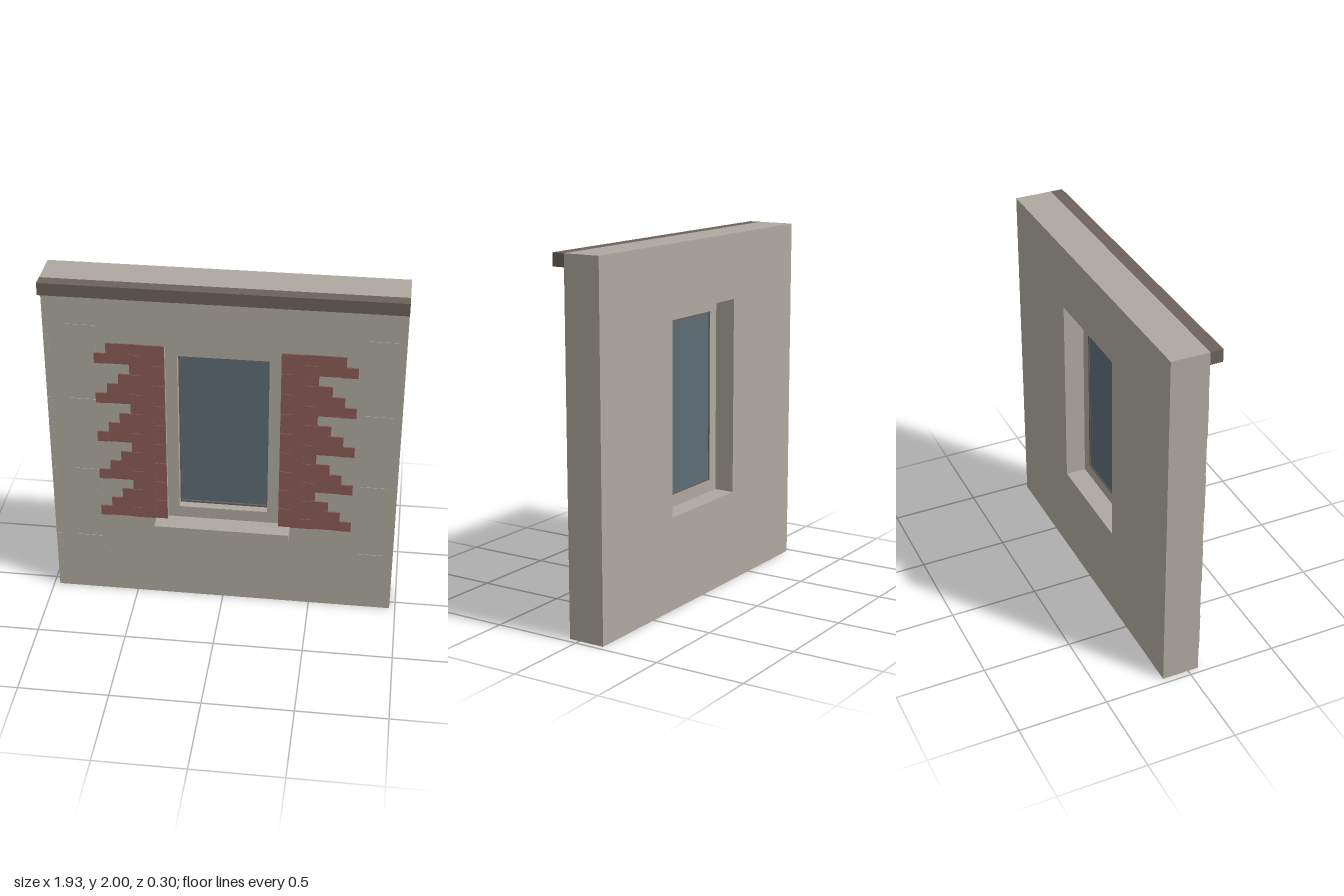
import * as THREE from 'three';

const mat = (name, color) => {
  const m = new THREE.MeshStandardMaterial({ color });
  m.name = name;
  return m;
};

export function createModel() {
  const model = new THREE.Group();
  model.name = 'wallWithWindow';
  const plaster = mat('plaster', 0xaea99f);
  const trim = mat('darkTrim', 0x6b625b);
  const brick = mat('brick', 0x8a5c56);
  const glass = mat('glass', 0x5c6d76);

  // Box given by its limits on each axis
  const box = (name, m, x0, x1, y0, y1, z0, z1, parent = model) => {
    const mesh = new THREE.Mesh(new THREE.BoxGeometry(x1 - x0, y1 - y0, z1 - z0), m);
    mesh.position.set((x0 + x1) / 2, (y0 + y1) / 2, (z0 + z1) / 2);
    mesh.name = name;
    parent.add(mesh);
  };

  // Rectangular panel with a rectangular opening, each [x0, x1, y0, y1]
  const rect = (target, [x0, x1, y0, y1]) => {
    target.moveTo(x0, y0);
    target.lineTo(x1, y0);
    target.lineTo(x1, y1);
    target.lineTo(x0, y1);
    target.closePath();
    return target;
  };
  const ring = (name, m, outer, inner, z0, z1) => {
    const shape = rect(new THREE.Shape(), outer);
    shape.holes.push(rect(new THREE.Path(), inner));
    const geo = new THREE.ExtrudeGeometry(shape, { depth: z1 - z0, bevelEnabled: false });
    const mesh = new THREE.Mesh(geo, m);
    mesh.position.z = z0;
    mesh.name = name;
    model.add(mesh);
  };

  // Wall, cornice and sill
  const opening = [-0.314, 0.314, 0.525, 1.635];
  const inside = [-0.25, 0.248, 0.595, 1.565];
  ring('wall', plaster, [-0.967, 0.967, 0, 2], opening, -0.15, 0.06);
  box('cornice', trim, -0.967, 0.967, 1.93, 2, 0.06, 0.13);
  box('sill', plaster, -0.379, 0.379, 0.465, 0.525, 0.06, 0.15);

  // Window set back in the opening
  ring('windowSurround', plaster, opening, inside, -0.035, 0.035);
  ring('windowFrame', trim, inside, [-0.24, 0.238, 0.605, 1.555], -0.035, -0.012);
  box('windowPane', glass, -0.24, 0.238, 0.605, 1.555, -0.031, -0.023);

  // Exposed brick beside the window: the stepped edge repeats every four rows
  const bricks = new THREE.Group();
  bricks.name = 'exposedBrick';
  model.add(bricks);
  const ends = { '-1': [0.695, 0.63, 0.568, 0.505], '1': [0.722, 0.658, 0.59, 0.515] };
  const rows = 18, rowHeight = 1.11 / rows, length = 0.13;
  for (const side of [-1, 1]) {
    for (let r = 0; r < rows; r++) {
      const end = ends[side][r % 4];
      const y = 0.525 + r * rowHeight;
      let a = 0.314;
      let b = a + (r % 2 ? length : length / 2);
      for (let i = 0; a < end - 0.001; i++) {
        if (end - b < 0.03) b = end;
        const front = (r + i) % 2 ? 0.07 : 0.066;
        box('brick', brick, Math.min(side * a, side * b), Math.max(side * a, side * b),
          y, y + rowHeight, 0.06, front, bricks);
        a = b;
        b += length;
      }
    }
  }

  // Barely raised plaster patches near both sides
  for (let i = 0; i < 4; i++) {
    const y = 0.14 + i * 0.455;
    for (const [x0, x1] of [[-0.966, -0.94], [-0.84, -0.685], [0.765, 0.92]]) {
      box('plasterPatch', plaster, x0, x1, y, y + 0.23, 0.06, 0.063);
    }
  }
  return model;
}
